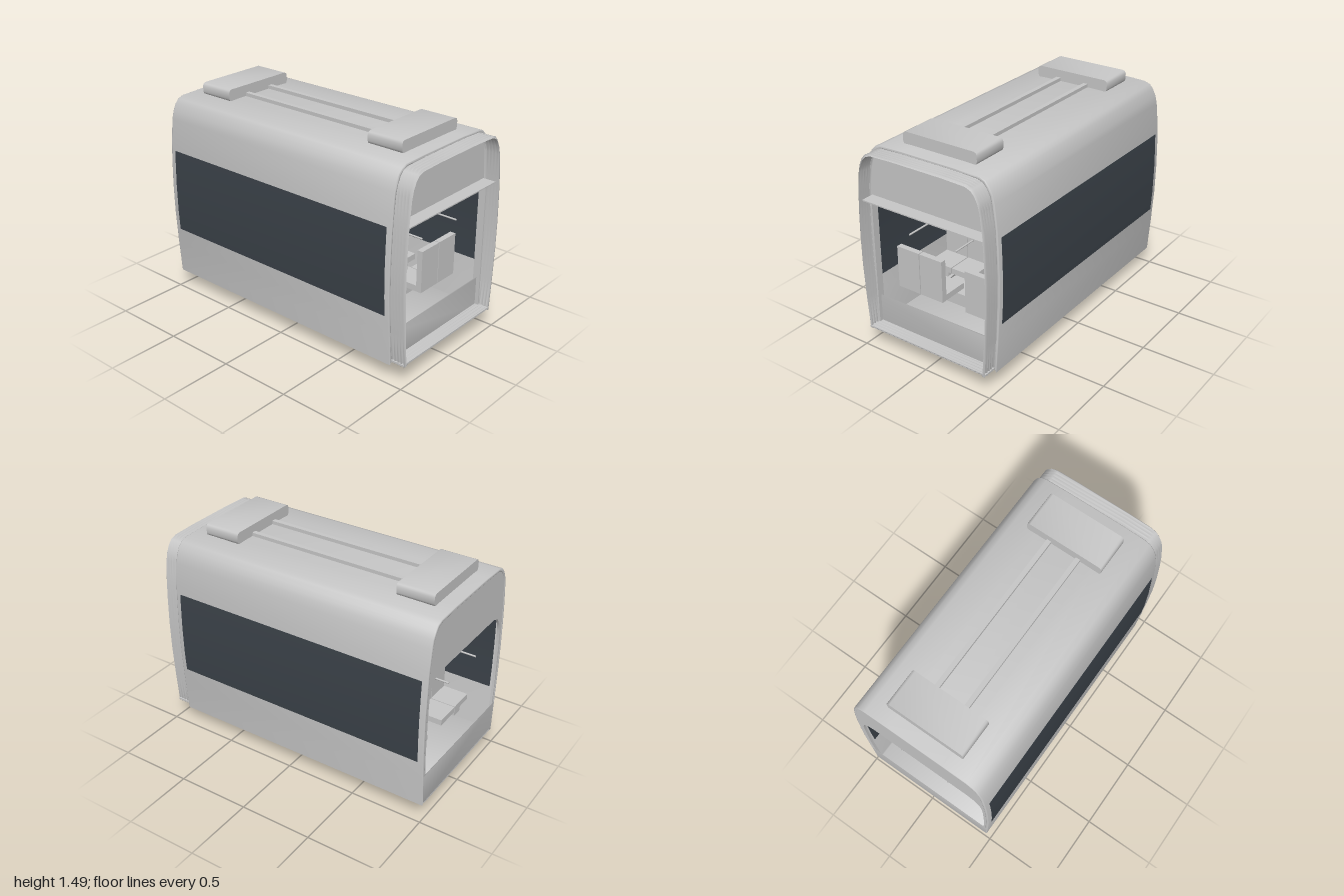
import * as THREE from 'three';
import { toCreasedNormals } from 'three/addons/utils/BufferGeometryUtils.js';

// Right half of the body cross-section, bottom to top
const HALF = [[0.46, 0.134], [0.473, 0.12], [0.49, 0.35], [0.503, 0.6], [0.505, 0.8], [0.5, 0.98], [0.492, 1.12],
  [0.475, 1.265], [0.461, 1.32], [0.439, 1.365], [0.411, 1.395], [0.37, 1.41], [0.2, 1.416]];
// Right half of the end openings
const OPENING = [[0.442, 0.155], [0.465, 0.5], [0.466, 0.8], [0.46, 0.92], [0.445, 0.98], [0.41, 1.03], [0.355, 1.05]];

const mirrorLoop = (half) => [...half, ...half.map(([x, y]) => [-x, y]).reverse()]
  .map(([x, y]) => new THREE.Vector2(x, y));

// Body cross-section shrunk by a distance
function profile(inset) {
  const sx = 1 - inset / 0.505, sy = 1 - inset / 0.65;
  return mirrorLoop(HALF.map(([x, y]) => [x * sx, 0.767 + (y - 0.767) * sy]));
}

function extrude(points, hole, z0, z1, bevel = 0, crease = 0.6) {
  const shape = new THREE.Shape(points);
  if (hole) shape.holes.push(new THREE.Path(hole));
  const g = new THREE.ExtrudeGeometry(shape, {
    depth: z1 - z0 - 2 * bevel, bevelEnabled: bevel > 0, bevelSize: bevel, bevelThickness: bevel,
    bevelOffset: -bevel, bevelSegments: 2,
  });
  g.translate(0, 0, z0 + bevel);
  return toCreasedNormals(g, crease);
}

// Pleated tube joining loops of alternating size
function bellowsGeometry(z0, z1, folds) {
  const pos = [], index = [], steps = folds * 2;
  let n = 0;
  for (let i = 0; i <= steps; i++) {
    const loop = profile(i % 2 ? 0.014 : 0.026);
    n = loop.length;
    loop.forEach((p) => pos.push(p.x, p.y, z0 + (z1 - z0) * i / steps));
  }
  for (let i = 0; i < steps; i++) {
    for (let j = 0; j < n; j++) {
      const a = i * n + j, b = i * n + (j + 1) % n;
      index.push(a, b, b + n, a, b + n, a + n);
    }
  }
  const g = new THREE.BufferGeometry();
  g.setAttribute('position', new THREE.Float32BufferAttribute(pos, 3));
  g.setIndex(index);
  g.computeVertexNormals();
  return g;
}

export function createModel() {
  const model = new THREE.Group();
  const grey = new THREE.MeshStandardMaterial({ color: 0xc7c7c7 });
  grey.name = 'light grey';
  const greyOpen = new THREE.MeshStandardMaterial({ color: 0xc7c7c7, side: THREE.DoubleSide });
  greyOpen.name = 'light grey fabric';
  const glass = new THREE.MeshStandardMaterial({ color: 0x3b4249 });
  glass.name = 'dark glass';

  const add = (name, geometry, material = grey, parent = model) => {
    const mesh = new THREE.Mesh(geometry, material);
    mesh.name = name;
    parent.add(mesh);
    return mesh;
  };
  // Box given by its limits on each axis
  const box = (name, x0, x1, y0, y1, z0, z1, material = grey, parent = model) => {
    const m = add(name, new THREE.BoxGeometry(x1 - x0, y1 - y0, z1 - z0), material, parent);
    m.position.set((x0 + x1) / 2, (y0 + y1) / 2, (z0 + z1) / 2);
    return m;
  };
  // Cylinder lying along x
  const rod = (name, r, x0, x1, y, z, sides = 20, parent = model) => {
    const g = new THREE.CylinderGeometry(r, r, x1 - x0, sides).rotateZ(Math.PI / 2);
    const m = add(name, g, grey, parent);
    m.position.set((x0 + x1) / 2, y, z);
    return m;
  };

  // Body shell with floor, end walls and bellows
  add('bodyShell', extrude(profile(0), profile(0.02), -1, 0.895, 0.007, 0.9));
  add('rearEndWall', extrude(profile(0.01), mirrorLoop(OPENING), -0.997, -0.98));
  add('frontEndWall', extrude(profile(0.01), mirrorLoop(OPENING), 0.865, 0.88));
  add('bellows', bellowsGeometry(0.885, 1, 5), greyOpen);

  // Flat inner ceiling and lining of the front passage
  box('ceiling', -0.43, 0.43, 1.05, 1.058, -0.985, 0.87);
  box('passageLintel', -0.47, 0.47, 1.045, 1.053, 0.87, 0.97);
  box('passageSill', -0.465, 0.465, 0.145, 0.157, 0.87, 0.99);
  for (const s of [-1, 1]) {
    box('passageJamb', s * 0.447 - 0.006, s * 0.447 + 0.006, 0.155, 1.04, 0.87, 0.92);
  }

  // Window bands, seen from inside and outside
  const wall = [[0.496, 0.465], ...HALF.slice(3, 6), [0.496, 1.05]];
  const band = [...wall.map(([x, y]) => new THREE.Vector2(x + 0.0015, y)),
    ...wall.map(([x, y]) => new THREE.Vector2(x * 0.96 - 0.003, y)).reverse()];
  for (const s of [-1, 1]) {
    const pts = band.map((p) => new THREE.Vector2(p.x * s, p.y));
    add('windowBand', extrude(pts, null, -0.96, 0.86), glass);
  }

  // Roof units and the pipes between them
  const c = 0.022;
  const unit = mirrorLoop([[0.275 - c, 1.41], [0.275 - c * 0.3, 1.41 + c * 0.3], [0.275, 1.41 + c],
    [0.275, 1.493 - c], [0.275 - c * 0.3, 1.493 - c * 0.3], [0.275 - c, 1.493]]);
  add('rearRoofUnit', extrude(unit, null, -0.895, -0.642, 0, 0.9));
  add('frontRoofUnit', extrude(unit, null, 0.532, 0.788, 0, 0.9));
  for (const s of [-1, 1]) {
    box('roofPipe', s * 0.108 - 0.016, s * 0.108 + 0.016, 1.405, 1.44, -0.645, 0.535);
  }

  // Seats: back position, facing direction, top height
  const rows = [[0.68, -1, 0.61], [0.18, 1, 0.71], [-0.5, 1, 0.71], [-0.61, -1, 0.61]];
  for (const [z, dir, top] of rows) {
    const row = new THREE.Group();
    row.name = 'seatRow';
    model.add(row);
    const span = (a, b) => [z + dir * a, z + dir * b].sort((p, q) => p - q);
    for (const s of [-1, 1]) {
      for (const x of [0.183, 0.369]) {
        box('seatBack', s * x - 0.09, s * x + 0.09, 0.31, top, ...span(-0.02, 0.02), grey, row);
        box('seatCushion', s * x - 0.09, s * x + 0.09, 0.31, 0.352, ...span(0.02, 0.2), grey, row);
      }
      box('seatPost', s * 0.36 - 0.04, s * 0.36 + 0.04, 0.245, 0.31, ...span(0.1, 0.18), grey, row);
    }
  }

  // Handrails and hanging display
  for (const s of [-1, 1]) {
    const rail = add('handrail', new THREE.CylinderGeometry(0.006, 0.006, 1.86, 8).rotateX(Math.PI / 2));
    rail.position.set(s * 0.178, 0.865, -0.045);
  }
  box('displayHanger', -0.006, 0.006, 1.01, 1.052, -0.006, 0.006);
  box('displayCase', -0.134, 0.134, 0.92, 1.013, -0.018, 0.018);
  box('displayScreen', -0.12, 0.12, 0.928, 1.005, 0.017, 0.021, glass);
  box('displayScreen', -0.12, 0.12, 0.928, 1.005, -0.021, -0.017, glass);

  // Wheelsets with flanged wheels, brake discs and axle boxes
  const tread = [[0, -0.014], [0.1, -0.014], [0.125, -0.022], [0.132, -0.016], [0.13, -0.006], [0.118, 0],
    [0.112, 0.026], [0.1, 0.03], [0, 0.03]].map(([r, y]) => new THREE.Vector2(r, y));
  const wheel = toCreasedNormals(new THREE.LatheGeometry(tread, 28).rotateZ(-Math.PI / 2).toNonIndexed(), 0.9);
  for (const z of [0.33, -0.43]) {
    const set = new THREE.Group();
    set.name = 'wheelset';
    model.add(set);
    rod('axle', 0.028, -0.34, 0.34, 0.14, z, 16, set);
    for (const s of [-1, 1]) {
      const w = add('wheel', wheel, grey, set);
      w.position.set(s * 0.325, 0.138, z);
      if (s < 0) w.rotation.y = Math.PI;
      rod('brakeDisc', 0.098, s * 0.2 - 0.01, s * 0.2 + 0.01, 0.15, z, 20, set);
      box('axleBox', s * 0.365 - 0.025, s * 0.365 + 0.025, 0.1, 0.2, z - 0.055, z + 0.055, grey, set);
      box('seatPlatform', s * 0.26 - 0.18, s * 0.26 + 0.18, 0.145, 0.245, z - 0.14, z + 0.14, grey, set);
    }
  }

  // Underfloor tanks between the wheelsets
  for (const z of [0.14, -0.24]) rod('underfloorTank', 0.06, -0.18, 0.13, 0.136, z, 8);

  return model;
}
